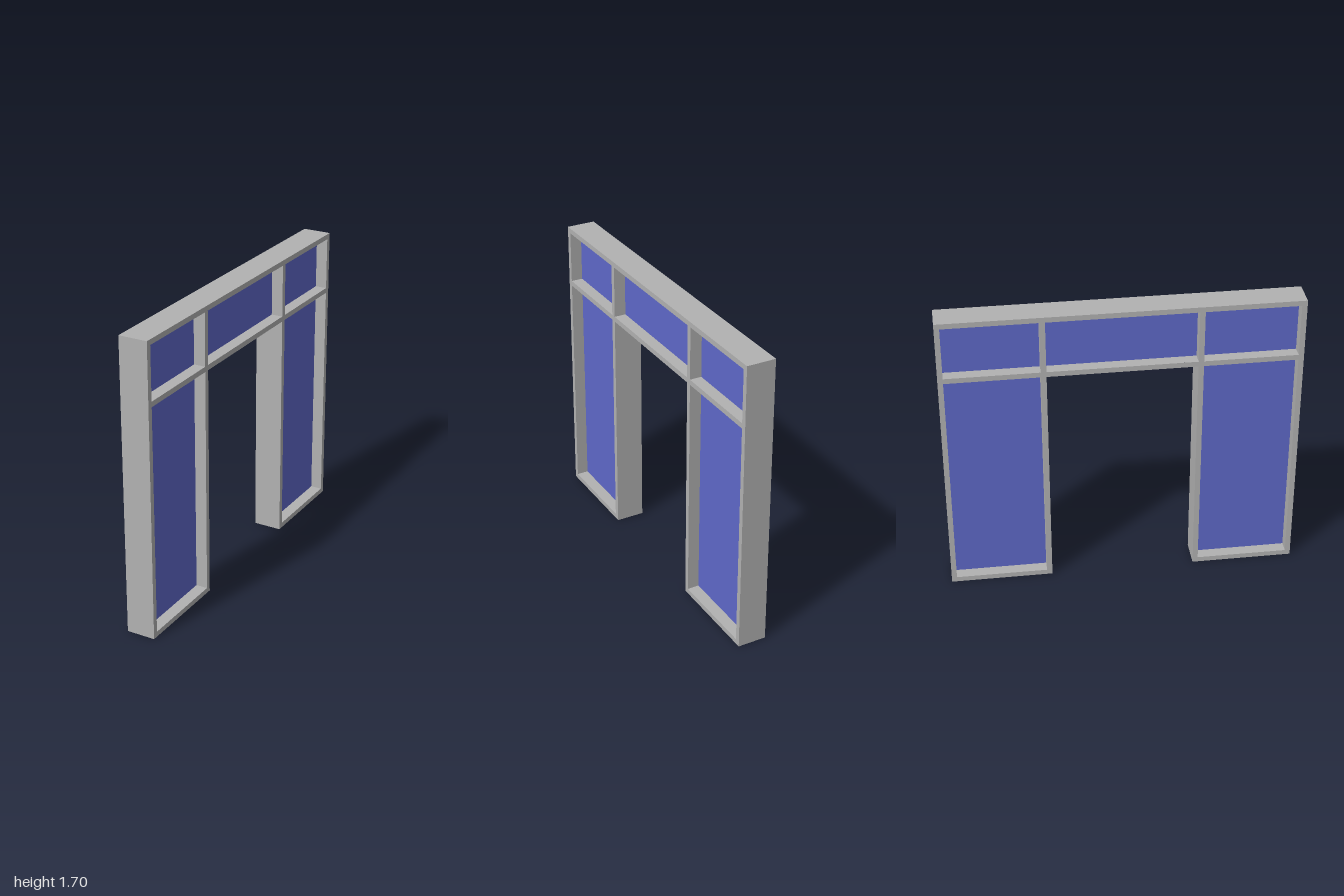
import * as THREE from 'three';

const DEPTH = 0.166;  // frame depth along x
const HEIGHT = 1.7;
const BAR = 0.03;     // width of every frame bar
const DOOR = 0.415;   // half width of the doorway
const RAIL = 1.337;   // underside of the transom rail
const GLASS = 0.03;   // pane thickness

export function createModel() {
  const model = new THREE.Group();
  model.name = 'glazedDoorSurround';

  const frameGrey = new THREE.MeshStandardMaterial({ color: 0xb2b2b2 });
  frameGrey.name = 'frame grey';
  const glassBlue = new THREE.MeshStandardMaterial({ color: 0x5f69c9 });
  glassBlue.name = 'glass blue';

  // Openings as [name, z0, y0, z1, y1]
  const openings = [
    ['transomPane', -DOOR, RAIL + BAR, DOOR, HEIGHT - BAR],
  ];
  for (const [side, s] of [['front', 1], ['back', -1]]) {
    const edges = [s * (DOOR + BAR), s * (1 - BAR)].sort((a, b) => a - b);
    openings.push([side + 'SidePane', edges[0], BAR, edges[1], RAIL]);
    openings.push([side + 'UpperPane', edges[0], RAIL + BAR, edges[1], HEIGHT - BAR]);
  }

  // Portal outline, drawn across z and y, with one hole per pane
  const outline = new THREE.Shape([
    [-1, 0], [-DOOR, 0], [-DOOR, RAIL], [DOOR, RAIL],
    [DOOR, 0], [1, 0], [1, HEIGHT], [-1, HEIGHT],
  ].map(([z, y]) => new THREE.Vector2(z, y)));
  for (const [, z0, y0, z1, y1] of openings) {
    outline.holes.push(new THREE.Path([
      new THREE.Vector2(z0, y0), new THREE.Vector2(z0, y1),
      new THREE.Vector2(z1, y1), new THREE.Vector2(z1, y0),
    ]));
  }
  const frameGeometry = new THREE.ExtrudeGeometry(outline, { depth: DEPTH, bevelEnabled: false });
  frameGeometry.translate(0, 0, -DEPTH / 2);
  frameGeometry.rotateY(-Math.PI / 2);
  const frame = new THREE.Mesh(frameGeometry, frameGrey);
  frame.name = 'frame';
  model.add(frame);

  // Panes set in the middle of the frame depth
  for (const [name, z0, y0, z1, y1] of openings) {
    const pane = new THREE.Mesh(new THREE.BoxGeometry(GLASS, y1 - y0, z1 - z0), glassBlue);
    pane.position.set(0, (y0 + y1) / 2, (z0 + z1) / 2);
    pane.name = name;
    model.add(pane);
  }
  return model;
}
